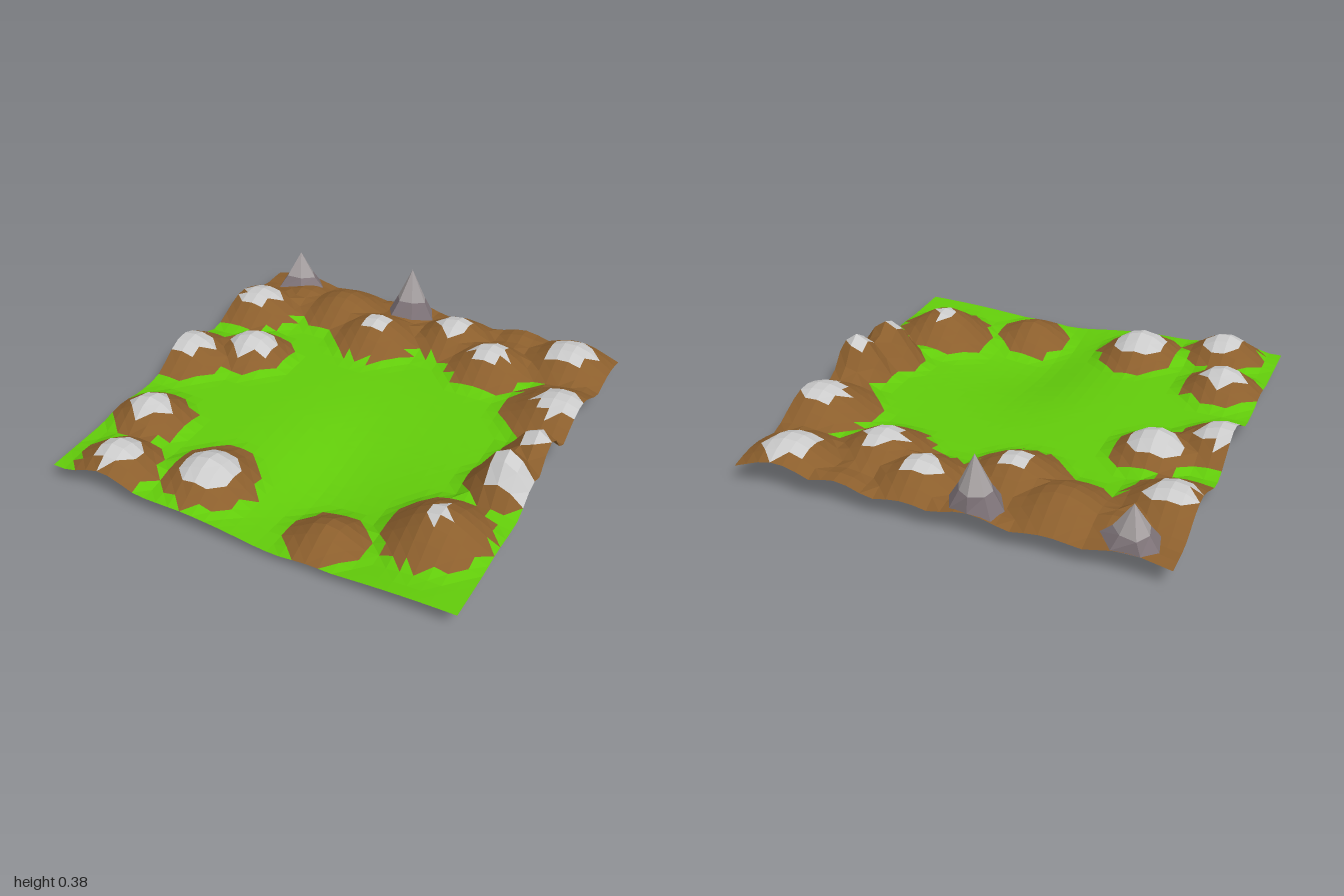
import * as THREE from 'three';

// Hills: x, z, top height, foot radius, snow radius
const HILLS = [
  [-0.88, -0.6, 0.22, 0.3, 0.1], [-0.68, -0.2, 0.22, 0.25, 0.12], [-0.95, -0.04, 0.22, 0.28, 0.11],
  [-0.81, 0.5, 0.22, 0.25, 0.09], [-0.73, 0.86, 0.22, 0.25, 0.1], [-0.31, 0.75, 0.21, 0.27, 0.12],
  [-0.31, 0.61, 0.13, 0.15, 0], [0.31, 0.8, 0.13, 0.24, 0], [0.73, 0.6, 0.22, 0.31, 0.06],
  [0.87, 0.2, 0.31, 0.22, 0], [0.93, 0.0, 0.31, 0.22, 0.06], [0.9, -0.4, 0.23, 0.34, 0.11],
  [0.79, -0.85, 0.22, 0.31, 0.12], [0.44, -0.65, 0.22, 0.29, 0.09], [0.18, -0.8, 0.22, 0.28, 0.09],
  [-0.19, -0.63, 0.22, 0.3, 0.08], [-0.46, -0.78, 0.21, 0.3, 0], [-0.72, -0.82, 0.16, 0.22, 0],
  [0.5, -0.95, 0.15, 0.22, 0], [-0.12, -0.92, 0.15, 0.24, 0], [-0.81, -0.95, 0.13, 0.24, 0],
];

// Level ground with a shallow hollow near the front, steeper on its right
function ground(x, z) {
  const width = x < 0.17 ? 0.27 : 0.46;
  return 0.09 - 0.09 * Math.exp(-(((x - 0.17) / width) ** 2) - ((z - 0.58) / 0.5) ** 2);
}

function height(x, z) {
  const base = ground(x, z);
  let y = base;
  for (const [hx, hz, top, r] of HILLS) {
    const d = Math.hypot(x - hx, z - hz) / r;
    if (d < 1) {
      const bell = (0.5 + 0.5 * Math.cos(Math.PI * d)) ** 0.9;
      y = Math.max(y, base + (top - ground(hx, hz)) * bell);
    }
  }
  return y;
}

// Ground cover at a point: 0 grass, 1 earth, 2 snow
function cover(x, z) {
  let kind = z < -0.64 && !(x < -0.93 && z < -0.95) ? 1 : 0;
  for (const [hx, hz, , r, snow] of HILLS) {
    const d = Math.hypot(x - hx, z - hz);
    if (d < snow) return 2;
    if (d < r * 0.78) kind = 1;
  }
  // Snow on the front slope of the eastern peak
  if (Math.abs(x - 0.9) < 0.1 && z > 0.18 && z < 0.31) return 2;
  return kind;
}

// True where the nearest hill slopes away along x + z, so cells split across it
function splitsAcross(x, z) {
  let nearest = Infinity, across = true;
  for (const [hx, hz, , r] of HILLS) {
    const d = Math.hypot(x - hx, z - hz) / r;
    if (d < nearest) {
      nearest = d;
      across = (x - hx) * (z - hz) >= 0;
    }
  }
  return across;
}

function createTerrain() {
  const N = 32;
  const faces = [[], [], []];
  const point = (i, j) => {
    const x = -1 + (2 * i) / N, z = -1 + (2 * j) / N;
    return [x, height(x, z), z];
  };
  const addTriangle = (a, b, c) => {
    const kind = cover((a[0] + b[0] + c[0]) / 3, (a[2] + b[2] + c[2]) / 3);
    faces[kind].push(...a, ...b, ...c);
  };
  for (let i = 0; i < N; i++) {
    for (let j = 0; j < N; j++) {
      const a = point(i, j), b = point(i, j + 1), c = point(i + 1, j + 1), d = point(i + 1, j);
      if (splitsAcross((a[0] + c[0]) / 2, (a[2] + c[2]) / 2)) {
        addTriangle(a, b, d);
        addTriangle(b, c, d);
      } else {
        addTriangle(a, b, c);
        addTriangle(a, c, d);
      }
    }
  }
  const terrain = new THREE.Group();
  terrain.name = 'terrain';
  ['grass', 'earth', 'snow'].forEach((name, k) => {
    const geometry = new THREE.BufferGeometry();
    geometry.setAttribute('position', new THREE.Float32BufferAttribute(faces[k], 3));
    geometry.computeVertexNormals();
    const material = new THREE.MeshStandardMaterial({
      color: [0x62cc0a, 0x8c5f2d, 0xcccccc][k], flatShading: true, side: THREE.DoubleSide,
    });
    const mesh = new THREE.Mesh(geometry, material);
    mesh.name = name;
    terrain.add(mesh);
  });
  return terrain;
}

// Open, faceted spire: a dark flared foot below a pale tip
function createRock(name, x, z, top, foot, rx, rz, sides) {
  const rock = new THREE.Group();
  rock.name = name;
  const waist = foot + (top - foot) * 0.35;
  const parts = [['foot', foot, waist, 1, 0.62, 0x80757a], ['tip', waist, top, 0.62, 0, 0xa8a2a3]];
  for (const [part, y0, y1, r0, r1, color] of parts) {
    const geometry = new THREE.CylinderGeometry(r1, r0, y1 - y0, sides, 1, true);
    geometry.rotateY(0.4);
    const p = geometry.attributes.position;
    for (let i = 0; i < p.count; i++) {
      const bump = 1 + 0.12 * Math.sin(Math.atan2(p.getZ(i), p.getX(i)) * 3 + 1);
      const px = x + rx * bump * p.getX(i);
      const pz = Math.max(-1, z + rz * bump * p.getZ(i));
      // The foot rests on the slope beneath it
      const y = p.getY(i) < 0 && part === 'foot' ? height(px, pz) : p.getY(i) + (y0 + y1) / 2;
      p.setXYZ(i, px, y, pz);
    }
    geometry.computeVertexNormals();
    const mesh = new THREE.Mesh(geometry, new THREE.MeshStandardMaterial({
      color, flatShading: true, side: THREE.DoubleSide,
    }));
    mesh.name = part;
    rock.add(mesh);
  }
  return rock;
}

export function createModel() {
  const model = new THREE.Group();
  model.name = 'valley';
  model.add(createTerrain());
  model.add(createRock('tallRock', -0.13, -0.92, 0.38, 0.12, 0.13, 0.11, 7));
  model.add(createRock('smallRock', -0.81, -0.92, 0.31, 0.11, 0.13, 0.11, 6));
  return model;
}
